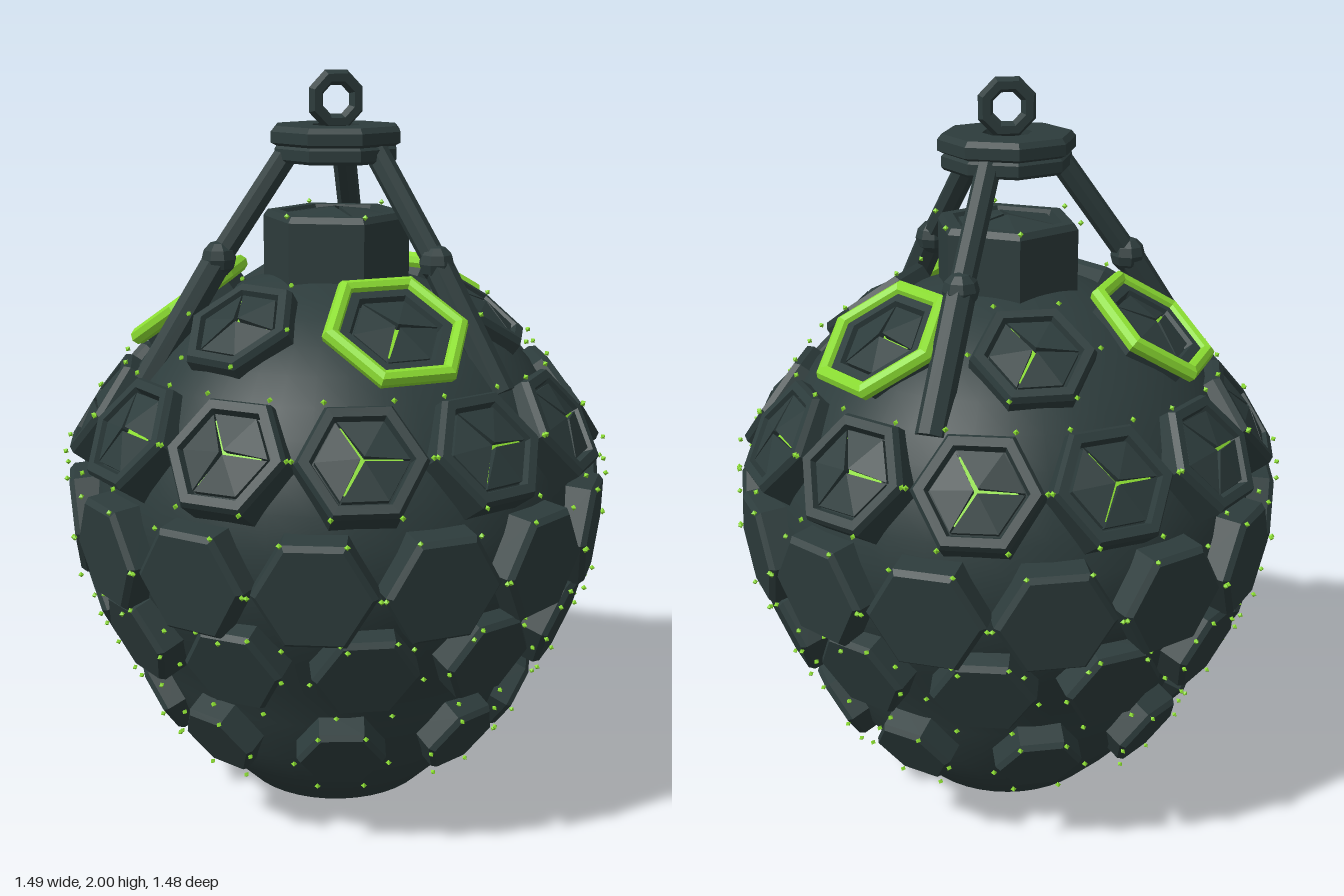
import * as THREE from 'three';
import { mergeGeometries } from 'three/addons/utils/BufferGeometryUtils.js';

const slate = new THREE.MeshStandardMaterial({ color: 0x2d3c3c });
slate.name = 'dark slate';
const green = new THREE.MeshStandardMaterial({ color: 0x8cde32 });
green.name = 'bright green';

const V2 = (x, y) => new THREE.Vector2(x, y);
const rad = THREE.MathUtils.degToRad;

// Faceted normals on any geometry
function flat(geo) {
  const g = geo.index ? geo.toNonIndexed() : geo;
  g.computeVertexNormals();
  return g;
}

// Six-sided turned form facing +z, with corners at left and right
function hexTurned(points) {
  const g = new THREE.LatheGeometry(points.map(p => V2(...p)), 6);
  g.rotateY(Math.PI / 6);
  g.rotateX(Math.PI / 2);
  return flat(g);
}

function plainPlate(r, depth) {
  return hexTurned([[r, -depth], [r, -0.014], [r * 0.91, 0], [0, 0]]);
}

function framePlate(r, depth) {
  return hexTurned([[r, -depth], [r, -0.016], [r * 0.94, 0], [r * 0.78, 0], [r * 0.73, -0.025]]);
}

// Three raised rhombic tiles that open slightly at the centre
function rhombTiles(r) {
  const R = r * 0.7, tiles = [];
  const at = (deg, d) => V2(Math.cos(rad(deg)) * d, Math.sin(rad(deg)) * d);
  for (let k = 0; k < 3; k++) {
    const a = k * 120;
    const shape = new THREE.Shape([at(a + 60, R * 0.06), at(a + 1, R), at(a + 60, R), at(a + 119, R)]);
    const g = new THREE.ExtrudeGeometry(shape, { depth: 0.03, bevelEnabled: false });
    const p = g.attributes.position;
    for (let i = 0; i < p.count; i++) {
      const d = Math.hypot(p.getX(i), p.getY(i));
      if (p.getZ(i) > 0.01) p.setZ(i, 0.02 + 0.02 * (1 - d / R));
    }
    tiles.push(flat(g));
  }
  const merged = mergeGeometries(tiles);
  merged.translate(0, 0, -0.028);
  return merged;
}

// Tiny lights at the corners of a plate
function cornerDots(r) {
  const dots = [];
  for (let k = 0; k < 6; k++) {
    const g = new THREE.OctahedronGeometry(0.008);
    const d = r + 0.006;
    g.translate(Math.cos(k * Math.PI / 3) * d, Math.sin(k * Math.PI / 3) * d, 0.003);
    dots.push(g);
  }
  return mergeGeometries(dots);
}

function mesh(name, geo, mat = slate) {
  const m = new THREE.Mesh(geo, mat);
  m.name = name;
  return m;
}

// Rod between two points
function rod(name, a, b, r) {
  const dir = b.clone().sub(a);
  const m = mesh(name, flat(new THREE.CylinderGeometry(r, r, dir.length(), 8)));
  m.position.copy(a).add(b).multiplyScalar(0.5);
  m.quaternion.setFromUnitVectors(new THREE.Vector3(0, 1, 0), dir.normalize());
  return m;
}

// Ring of hexagonal panels; radius and y give the centre of the outer face
function panelRow(parent, o) {
  const depth = o.depth ?? 0.1;
  const plate = o.framed ? framePlate(o.r, depth) : plainPlate(o.r, depth);
  const dots = cornerDots(o.r);
  const tiles = o.framed && rhombTiles(o.r);
  const floor = o.framed && new THREE.CircleGeometry(o.r * 0.6, 6);
  const rim = o.glow && flat(new THREE.TorusGeometry(o.r * 1.08, 0.023, 8, 6));
  for (let i = 0; i < o.count; i++) {
    const g = new THREE.Group();
    g.name = o.name;
    const a = rad(o.start + i * 360 / o.count);
    g.rotation.order = 'YXZ';
    g.rotation.set(-rad(o.tilt), a, 0);
    g.position.set(Math.sin(a) * o.radius, o.y, Math.cos(a) * o.radius);
    g.add(mesh('hexPlate', plate), mesh('cornerLights', dots, green));
    if (o.framed) {
      const f = mesh('glowFloor', floor, green);
      f.position.z = -0.011;
      g.add(f, mesh('rhombTiles', tiles));
    }
    if (rim) {
      const ring = mesh('glowRim', rim, green);
      ring.position.z = -0.006;
      g.add(ring);
    }
    parent.add(g);
  }
}

export function createModel() {
  const model = new THREE.Group();
  model.name = 'hexPanelledOrb';

  // Smooth core: narrowed below, spherical above
  const profile = [[0, 0], [0.115, 0.004], [0.26, 0.055], [0.36, 0.155], [0.435, 0.26], [0.482, 0.38],
    [0.527, 0.49], [0.59, 0.6], [0.642, 0.72]];
  for (let d = 0; d <= 90; d += 7.5) {
    profile.push([Math.max(0, Math.cos(rad(d)) * 0.665), 0.83 + Math.sin(rad(d)) * 0.665]);
  }
  model.add(mesh('core', new THREE.LatheGeometry(profile.map(p => V2(...p)), 40)));

  // Panel rows from bottom to top
  panelRow(model, { name: 'lowerPanel', count: 9, start: 20, r: 0.115, radius: 0.505, y: 0.295, tilt: -29 });
  panelRow(model, { name: 'midLowPanel', count: 12, start: 15, r: 0.133, radius: 0.65, y: 0.585, tilt: -20 });
  panelRow(model, { name: 'beltPanel', count: 14, start: 0, r: 0.152, radius: 0.715, y: 0.822, tilt: -5 });
  panelRow(model, { name: 'shoulderPanel', count: 12, start: 14, r: 0.161, radius: 0.642, y: 1.14, tilt: 35, framed: true, depth: 0.11 });
  panelRow(model, { name: 'crownPanel', count: 3, start: 60, r: 0.158, radius: 0.395, y: 1.4, tilt: 54, framed: true });
  panelRow(model, { name: 'glowingCrownPanel', count: 3, start: 0, r: 0.16, radius: 0.405, y: 1.397, tilt: 54, framed: true, glow: true });
  panelRow(model, { name: 'topCap', count: 1, start: -90, r: 0.195, radius: 0, y: 1.64, tilt: 90, framed: true, depth: 0.2 });

  // Three jointed struts
  for (const deg of [-90, 30, 150]) {
    const a = rad(deg);
    const at = (r, y) => new THREE.Vector3(Math.sin(a) * r, y, Math.cos(a) * r);
    const strut = new THREE.Group();
    strut.name = 'strut';
    const joint = mesh('strutJoint', flat(new THREE.SphereGeometry(0.047, 8, 6)));
    joint.position.copy(at(0.325, 1.53));
    strut.add(rod('upperStrut', at(0.13, 1.8), at(0.325, 1.53), 0.032), joint,
      rod('lowerStrut', at(0.325, 1.53), at(0.525, 1.22), 0.04));
    model.add(strut);
  }

  // Octagonal head plate with a stepped rim and an open centre
  const head = [[0.065, 1.77], [0.162, 1.77], [0.17, 1.778], [0.17, 1.805], [0.163, 1.812], [0.18, 1.82],
    [0.18, 1.848], [0.168, 1.862], [0.065, 1.862], [0.065, 1.77]];
  model.add(mesh('headPlate', flat(new THREE.LatheGeometry(head.map(p => V2(...p)), 8))));

  // Hanging ring
  const ring = mesh('hangingRing', flat(new THREE.TorusGeometry(0.06, 0.021, 6, 8)));
  ring.position.y = 1.925;
  ring.rotation.z = Math.PI / 8;
  model.add(ring);

  return model;
}
